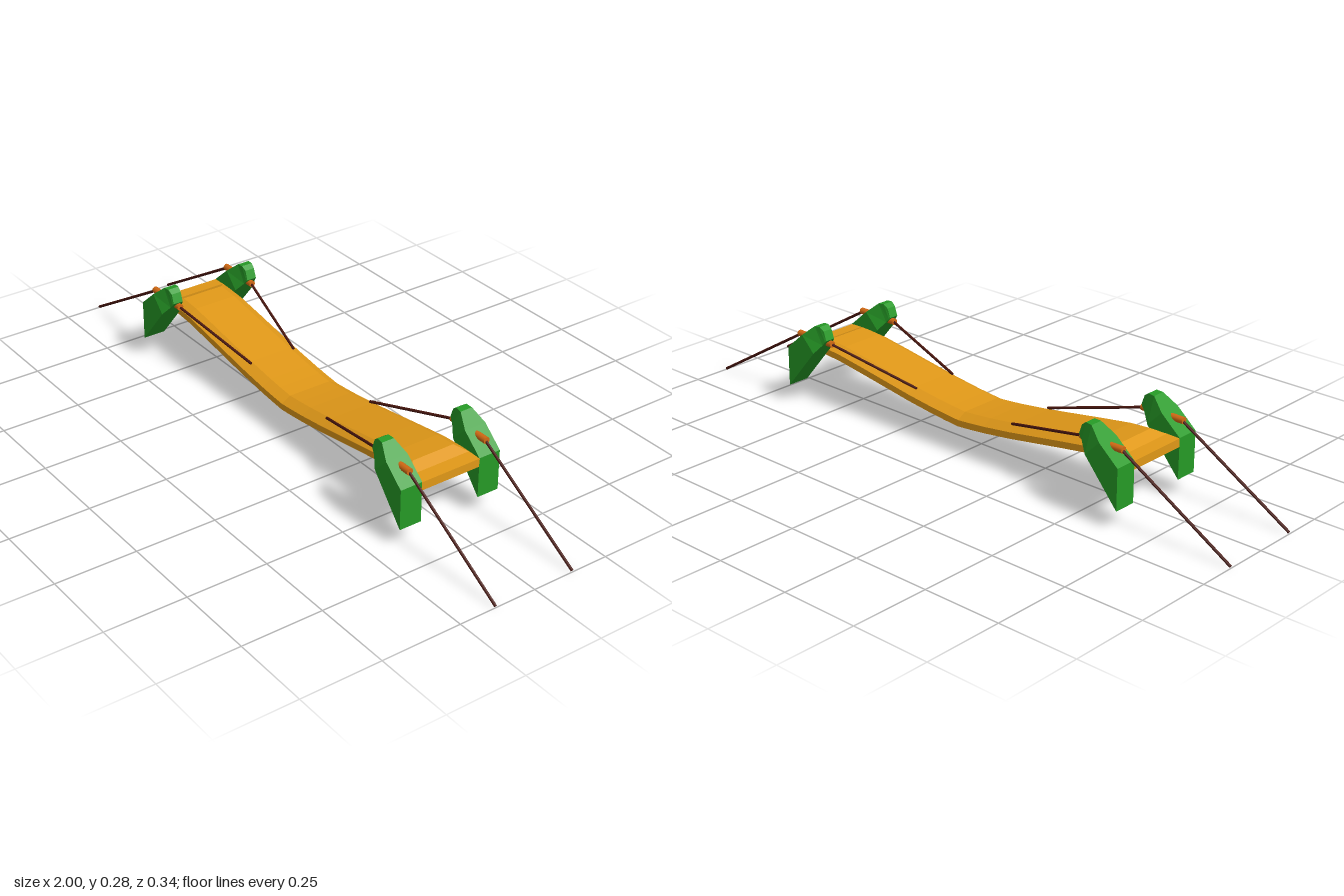
import * as THREE from 'three';

const material = (name, color) => {
  const m = new THREE.MeshStandardMaterial({ color });
  m.name = name;
  return m;
};

// Skin rings of [x, y, z] points that advance along +x, with flat faces and closed ends
function loft(rings) {
  const pos = [];
  const tri = (a, b, c) => pos.push(...a, ...b, ...c);
  const n = rings[0].length;
  for (let i = 0; i < rings.length - 1; i++) {
    for (let j = 0; j < n; j++) {
      const k = (j + 1) % n;
      const a = rings[i][j], b = rings[i][k], c = rings[i + 1][k], d = rings[i + 1][j];
      tri(a, b, c);
      tri(a, c, d);
    }
  }
  const first = rings[0], last = rings[rings.length - 1];
  for (let j = 1; j < n - 1; j++) {
    tri(first[0], first[j + 1], first[j]);
    tri(last[0], last[j], last[j + 1]);
  }
  const g = new THREE.BufferGeometry();
  g.setAttribute('position', new THREE.Float32BufferAttribute(pos, 3));
  g.computeVertexNormals();
  return g;
}

// Straight rod between two points
function rod(name, a, b, radius, sides, mat) {
  const from = new THREE.Vector3(...a), to = new THREE.Vector3(...b);
  const dir = to.clone().sub(from);
  const mesh = new THREE.Mesh(new THREE.CylinderGeometry(radius, radius, dir.length(), sides), mat);
  mesh.position.copy(from).add(to).multiplyScalar(0.5);
  mesh.quaternion.setFromUnitVectors(new THREE.Vector3(0, 1, 0), dir.normalize());
  mesh.name = name;
  return mesh;
}

export function createModel() {
  const wood = material('ochre wood', 0xe09818);
  const green = material('green post', 0x269a26);
  const peg = material('orange brown peg', 0xd26a14);
  const rope = material('dark brown rope', 0x4a160e);

  const model = new THREE.Group();
  model.name = 'hangingBridge';

  // Sagging deck: bevelled top, shallow channel underneath, hipped ends
  // station: x, top y, top half width, rim y, bottom y, channel y
  const sag = [[0, 0.126], [0.05, 0.13], [0.1, 0.135], [0.2, 0.148], [0.4, 0.18], [0.5, 0.195], [0.57, 0.2]]
    .map(([x, y]) => [x, y, 0.07, y - 0.017, y - 0.037, y - 0.019]);
  const half = [...sag,
    [0.605, 0.185, 0.097, 0.184, 0.16, 0.172],
    [0.648, 0.183, 0.1, 0.183, 0.157, 0.157]];
  const stations = [...half.slice(1).reverse().map(([x, ...r]) => [-x, ...r]), ...half];
  const deck = new THREE.Mesh(loft(stations.map(([x, top, hw, rim, bottom, channel]) => [
    [x, top, hw], [x, rim, 0.1], [x, bottom, 0.1], [x, channel, 0.07],
    [x, channel, -0.07], [x, bottom, -0.1], [x, rim, -0.1], [x, top, -hw],
  ])), wood);
  deck.name = 'deck';
  model.add(deck);

  // Leaning post, tapered at its tip: top x, top y, bottom x, bottom y, half width
  const postGeometry = loft([
    [0.507, 0.265, 0.497, 0.236, 0.016],
    [0.522, 0.276, 0.501, 0.231, 0.018],
    [0.543, 0.274, 0.51, 0.22, 0.02],
    [0.583, 0.24, 0.535, 0.191, 0.036],
    [0.648, 0.184, 0.648, 0.058, 0.036],
  ].map(([tx, ty, bx, by, w]) => [[tx, ty, w], [bx, by, w], [bx, by, -w], [tx, ty, -w]]));

  for (const end of [0, 1]) {
    const anchor = new THREE.Group();
    anchor.name = end ? 'rightAnchorage' : 'leftAnchorage';
    for (const s of [1, -1]) {
      const post = new THREE.Mesh(postGeometry, green);
      post.name = 'post';
      post.position.z = s * 0.135;
      const z = s * 0.132;
      anchor.add(
        post,
        rod('peg', [0.49, 0.222, z], [0.636, 0.222, z], 0.0105, 10, peg),
        rod('groundRope', [0.63, 0.221, z], [0.998, 0.004, z], 0.0042, 8, rope),
        rod('deckRope', [0.497, 0.222, z], [0.19, 0.147, s * 0.077], 0.0042, 8, rope),
      );
    }
    anchor.rotation.y = end * Math.PI;
    model.add(anchor);
  }
  return model;
}
